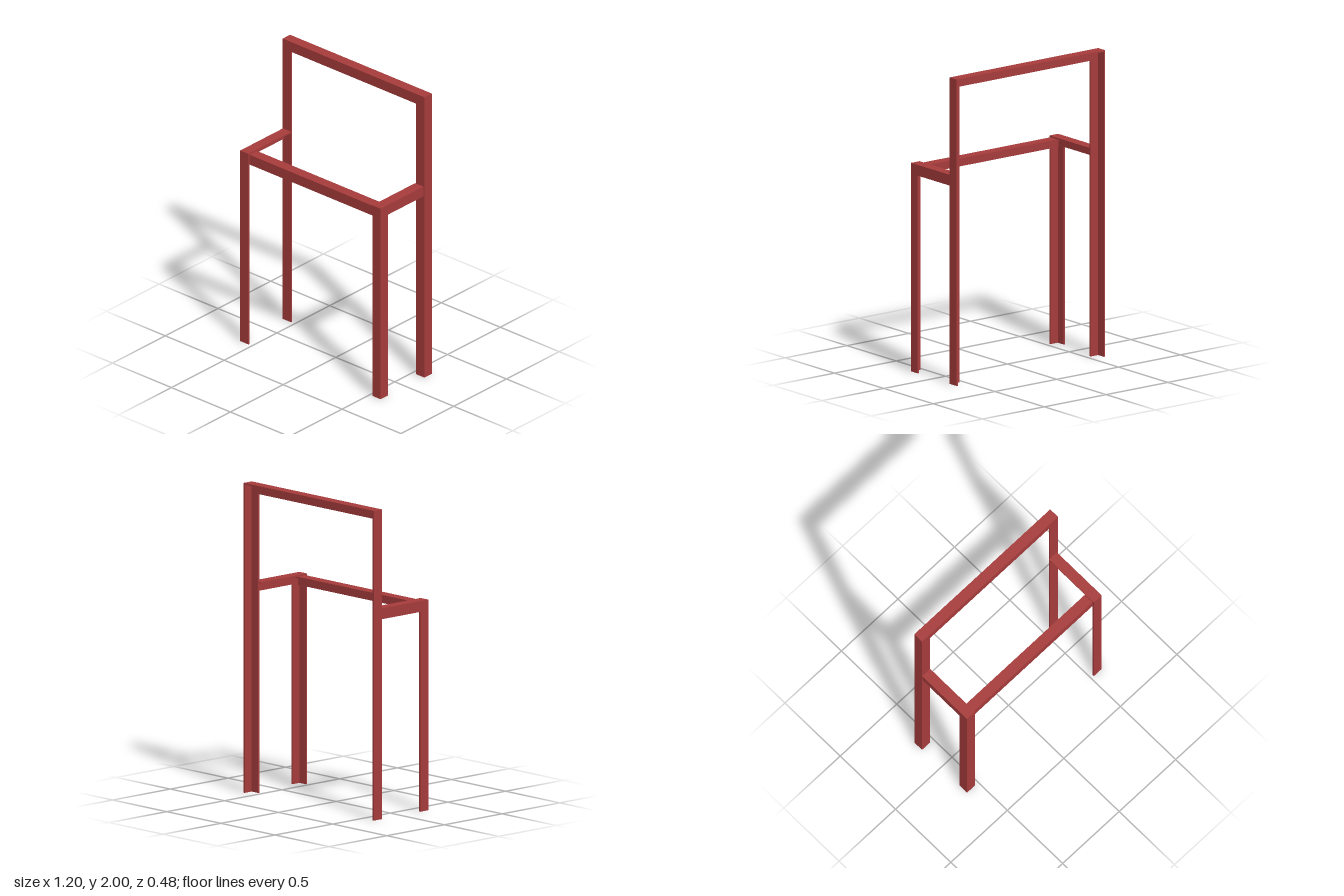
import * as THREE from 'three';

const SIZE = 0.07;    // flange width of the angle bar
const THICK = 0.01;   // flange thickness

export function createModel() {
  const model = new THREE.Group();
  model.name = 'angleBarFrame';
  const paint = new THREE.MeshStandardMaterial({ color: 0xa83c3c });
  paint.name = 'red paint';

  // L-shaped cross-section with its outer corner at the origin
  const section = new THREE.Shape([
    [0, 0], [SIZE, 0], [SIZE, THICK], [THICK, THICK], [THICK, SIZE], [0, SIZE],
  ].map(([x, y]) => new THREE.Vector2(x, y)));

  // Bar whose outer corner line is centred on `middle`; flanges point along a and b
  function addBar(name, middle, a, b, length) {
    const geometry = new THREE.ExtrudeGeometry(section, { depth: length, bevelEnabled: false });
    geometry.translate(0, 0, -length / 2);
    const u = new THREE.Vector3(...a);
    const v = new THREE.Vector3(...b);
    const w = new THREE.Vector3().crossVectors(u, v);
    geometry.applyMatrix4(new THREE.Matrix4().makeBasis(u, v, w).setPosition(...middle));
    const mesh = new THREE.Mesh(geometry, paint);
    mesh.name = name;
    model.add(mesh);
  }

  const TOP = 2, ARM = 1.36, BACK = -0.168, FRONT = 0.237;
  const down = [0, -1, 0], rearward = [0, 0, -1];

  for (const side of [-1, 1]) {
    const label = side < 0 ? 'right' : 'left';
    const inward = [-side, 0, 0];
    const backX = side * 0.601;
    const frontX = side < 0 ? -0.599 : 0.592;

    // Uprights, open towards the back and the middle
    addBar(label + 'BackPost', [backX, (TOP - THICK) / 2, BACK], inward, rearward, TOP - THICK);
    addBar(label + 'FrontLeg', [frontX, (ARM - THICK) / 2, FRONT], inward, rearward, ARM - THICK);

    // Side rail, open downwards and inwards
    addBar(label + 'SideRail', [frontX, ARM, (FRONT + BACK) / 2], inward, down, FRONT - BACK);
  }

  // Cross rails, open downwards and towards the back
  addBar('topRail', [0, TOP, BACK], rearward, down, 1.202);
  addBar('frontRail', [-0.003, ARM - THICK, FRONT - THICK], rearward, down, 1.17);

  return model;
}
